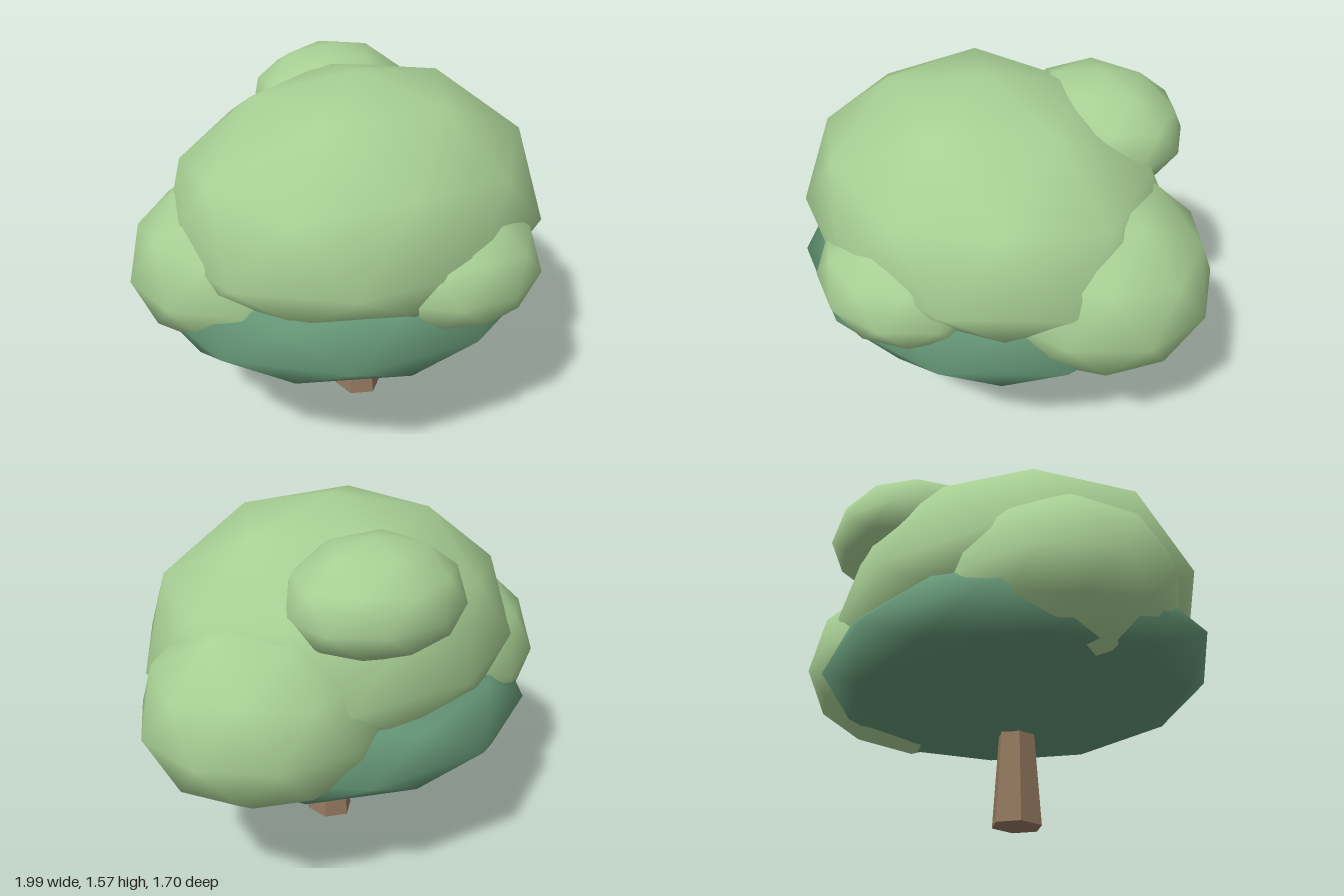
import * as THREE from 'three';
import { mergeVertices } from 'three/addons/utils/BufferGeometryUtils.js';

// Low-poly ball with a vertex at each pole; the lower half has its own height
function clumpGeometry(rx, up, down, rz) {
  let g = new THREE.IcosahedronGeometry(1, 1);
  g.deleteAttribute('uv');
  g.deleteAttribute('normal');
  g = mergeVertices(g, 1e-4);
  g.rotateX(-Math.atan((1 + Math.sqrt(5)) / 2));
  g.rotateY(Math.PI / 2);
  const p = g.attributes.position;
  for (let i = 0; i < p.count; i++) {
    const y = p.getY(i);
    p.setXYZ(i, p.getX(i) * rx, y * (y > 0 ? up : down), p.getZ(i) * rz);
  }
  g.computeVertexNormals();
  return g;
}

export function createModel() {
  const tree = new THREE.Group();
  tree.name = 'tree';

  const bark = new THREE.MeshStandardMaterial({ color: 0x94795f, flatShading: true });
  bark.name = 'bark brown';
  const lightLeaf = new THREE.MeshStandardMaterial({ color: 0xa8cf94 });
  lightLeaf.name = 'light leaf green';
  const darkLeaf = new THREE.MeshStandardMaterial({ color: 0x639474 });
  darkLeaf.name = 'dark leaf green';

  // Tapered six-sided trunk
  const trunk = new THREE.Mesh(new THREE.CylinderGeometry(0.077, 0.116, 0.5, 6), bark);
  trunk.name = 'trunk';
  trunk.scale.x = 0.89;
  trunk.position.set(-0.05, 0.25, -0.01);
  tree.add(trunk);

  // Foliage: name, material, centre, [x radius, height above, depth below, z radius]
  const clumps = [
    ['lowerFoliage', darkLeaf, [-0.075, 0.65, -0.04], [0.89, 0.31, 0.26, 0.81]],
    ['mainCrown', lightLeaf, [-0.045, 0.95, -0.01], [0.875, 0.625, 0.35, 0.76]],
    ['leftClump', lightLeaf, [0.49, 0.82, -0.16], [0.53, 0.45, 0.36, 0.5]],
    ['rightClump', lightLeaf, [-0.51, 0.78, -0.2], [0.51, 0.43, 0.32, 0.48]],
    ['frontClump', lightLeaf, [0.045, 0.84, 0.485], [0.4, 0.29, 0.23, 0.36]],
    ['topClump', lightLeaf, [0.175, 1.28, -0.45], [0.395, 0.262, 0.2, 0.345]],
  ];
  for (const [name, material, centre, size] of clumps) {
    const clump = new THREE.Mesh(clumpGeometry(...size), material);
    clump.name = name;
    clump.position.set(...centre);
    tree.add(clump);
  }
  return tree;
}
